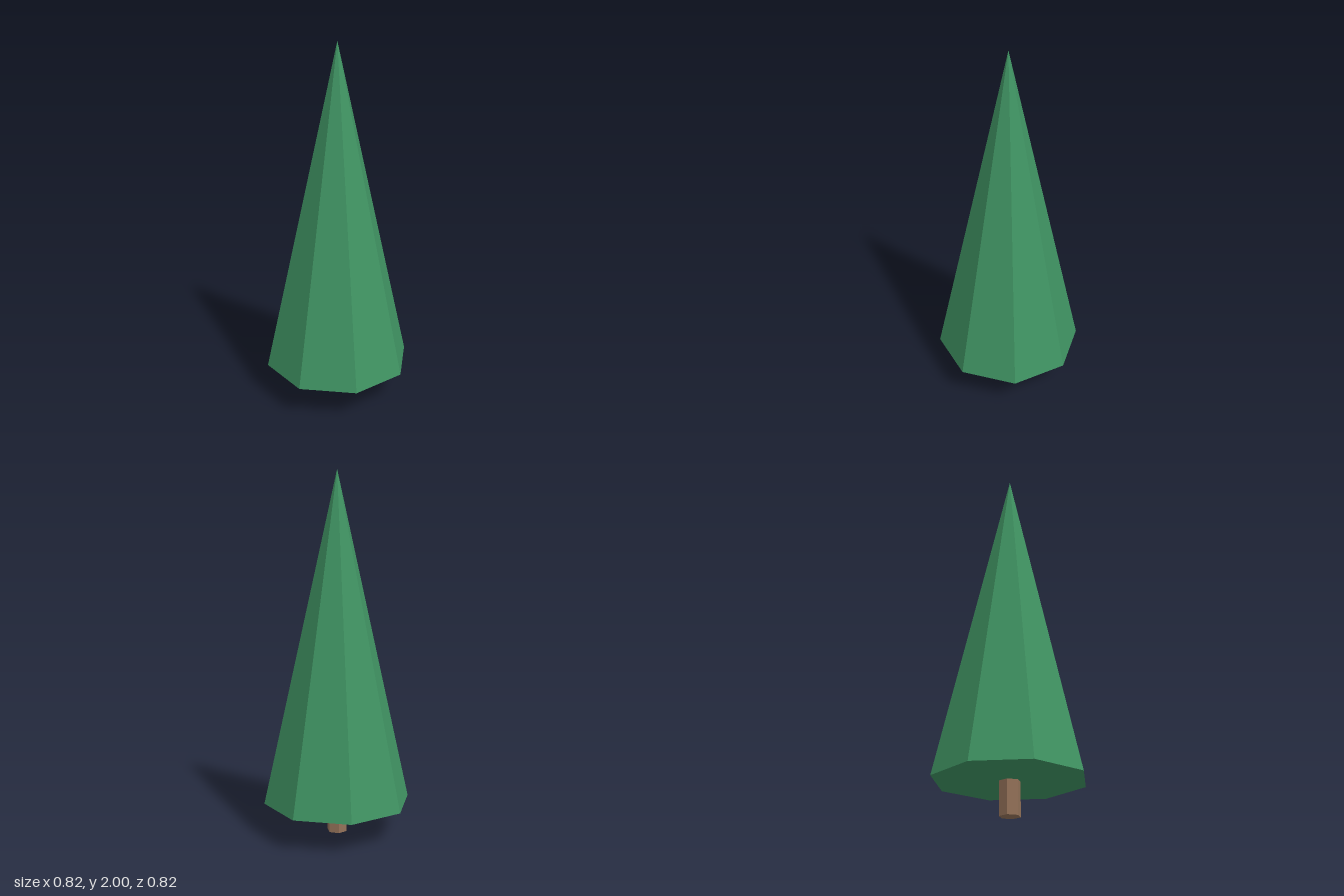
import * as THREE from 'three';

const TRUNK_HEIGHT = 0.18;
const TOTAL_HEIGHT = 2;

function flatMaterial(name, color) {
  const material = new THREE.MeshStandardMaterial({ color, flatShading: true });
  material.name = name;
  return material;
}

export function createModel() {
  const tree = new THREE.Group();
  tree.name = 'tree';

  // Six-sided trunk, with an edge facing the front
  const trunk = new THREE.Mesh(
    new THREE.CylinderGeometry(0.057, 0.057, TRUNK_HEIGHT, 6),
    flatMaterial('bark brown', 0x947259)
  );
  trunk.name = 'trunk';
  trunk.position.y = TRUNK_HEIGHT / 2;
  tree.add(trunk);

  // Eight-sided cone of foliage with a closed underside
  const height = TOTAL_HEIGHT - TRUNK_HEIGHT;
  const foliage = new THREE.Mesh(
    new THREE.ConeGeometry(0.41, height, 8),
    flatMaterial('needle green', 0x409463)
  );
  foliage.name = 'foliage';
  foliage.position.y = TRUNK_HEIGHT + height / 2;
  tree.add(foliage);

  return tree;
}
